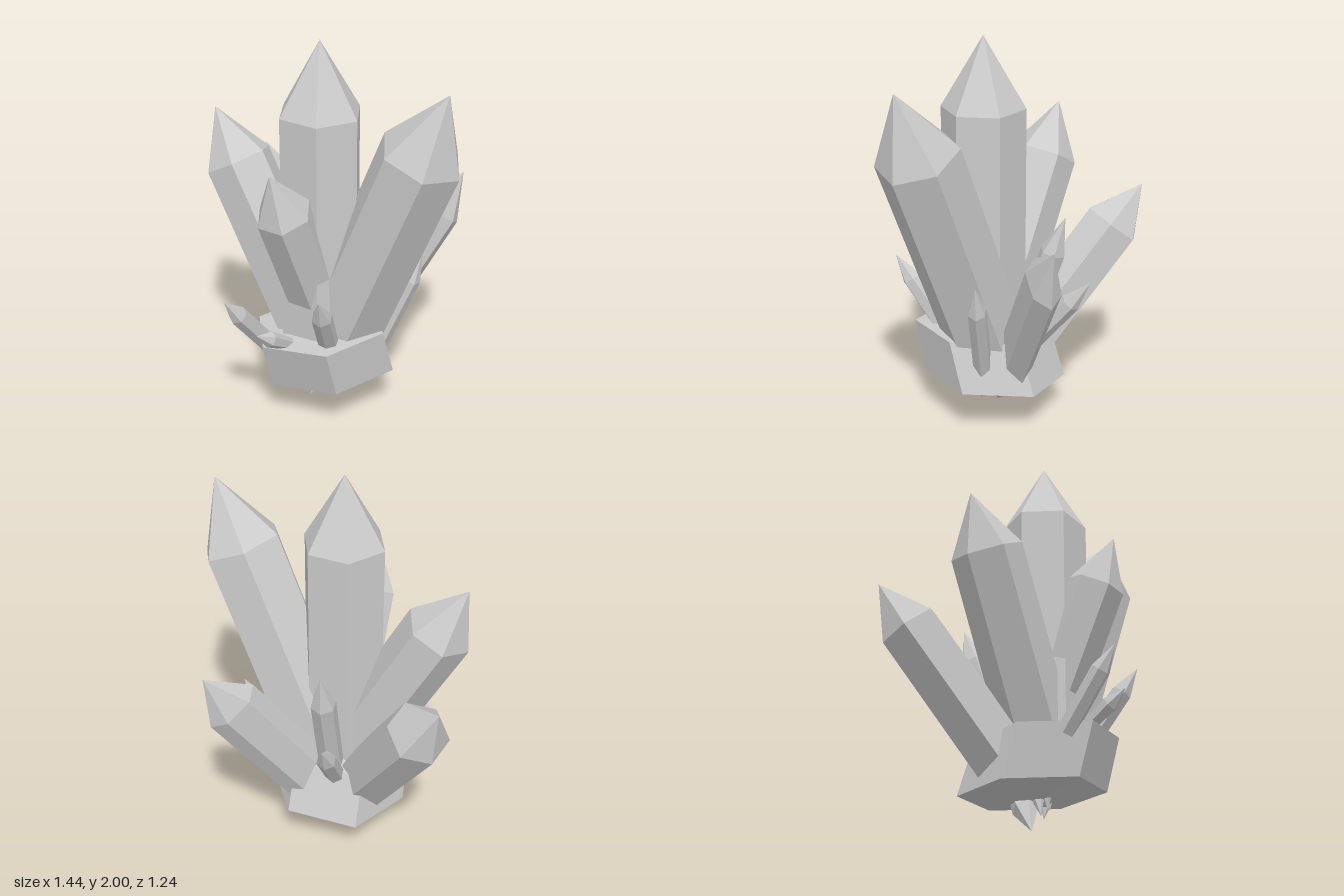
import * as THREE from 'three';

const material = new THREE.MeshStandardMaterial({ color: 0xcccccc, flatShading: true });
const rad = THREE.MathUtils.degToRad;

// Six-sided solid turned from a profile of [radius, height] points
function hexSolid(profile, spin) {
  const points = profile.map(([r, y]) => new THREE.Vector2(r, y));
  return new THREE.LatheGeometry(points, 6, rad(spin));
}

// Pointed hexagonal crystal running from base to apex; spin turns its corners
// about its own axis, flat squeezes it sideways to its lean
function crystal({ name, base, apex, r, tip, spin = 0, flat = 1, foot = r }) {
  const start = new THREE.Vector3(...base);
  const up = new THREE.Vector3(...apex).sub(start);
  const length = up.length();
  up.normalize();

  const lean = new THREE.Vector3(up.x, 0, up.z);
  if (lean.length() < 0.01) lean.set(1, 0, 0);
  lean.addScaledVector(up, -lean.dot(up)).normalize();
  const side = new THREE.Vector3().crossVectors(up, lean);

  const geometry = hexSolid([[0, 0], [foot, 0], [r, length - tip], [0, length]], spin);
  geometry.scale(flat, 1, 1);
  const mesh = new THREE.Mesh(geometry, material);
  mesh.name = name;
  mesh.quaternion.setFromRotationMatrix(new THREE.Matrix4().makeBasis(side, up, lean));
  mesh.position.copy(start);
  return mesh;
}

// Tilted, slanted hexagonal slab
function rockBase() {
  const geometry = hexSolid([[0, 0.165], [0.36, 0.215], [0.35, 0.475], [0, 0.5]], 100);
  const p = geometry.attributes.position;
  for (let i = 0; i < p.count; i++) {
    const x = p.getX(i), y = p.getY(i);
    p.setY(i, y + 0.1 * x);
    p.setZ(i, p.getZ(i) + 0.025 + 0.33 * (y - 0.215));
  }
  const mesh = new THREE.Mesh(geometry, material);
  mesh.name = 'rockBase';
  return mesh;
}

const crystals = [
  // Large crystals
  { name: 'mainCrystal', base: [0, 0.4, 0.1], apex: [0, 2, 0.1], r: 0.213, tip: 0.36 },
  { name: 'leftLargeCrystal', base: [0.06, 0.4, 0.03], apex: [0.685, 1.86, 0.07], r: 0.21, tip: 0.36, spin: 8 },
  { name: 'rightLargeCrystal', base: [-0.03, 0.4, 0.1], apex: [-0.645, 1.53, 0.1], r: 0.175, tip: 0.29 },
  { name: 'frontCrystal', base: [0, 0.4, 0.03], apex: [0, 1.455, 0.51], r: 0.14, tip: 0.255, spin: 30 },
  { name: 'backRightCrystal', base: [-0.155, 0.3, 0], apex: [-0.705, 1.155, -0.395], r: 0.16, tip: 0.26 },
  { name: 'backLeftCrystal', base: [0.08, 0.38, -0.16], apex: [0.4, 1.17, -0.62], r: 0.145, tip: 0.25, flat: 0.56 },
  // Slim crystals behind
  { name: 'backSlimCrystal', base: [-0.03, 0.4, -0.1], apex: [-0.08, 1.14, -0.345], r: 0.065, tip: 0.2 },
  { name: 'backSmallCrystal', base: [-0.07, 0.4, -0.14], apex: [-0.14, 0.8, -0.46], r: 0.05, tip: 0.16 },
  { name: 'leftSlimCrystal', base: [0.23, 0.36, -0.07], apex: [0.425, 0.89, -0.18], r: 0.06, tip: 0.16, flat: 0.8 },
  // Small crystals in front
  { name: 'frontRightShard', base: [-0.17, 0.41, 0.32], apex: [-0.207, 0.775, 0.62], r: 0.048, tip: 0.14 },
  { name: 'frontLeftShard', base: [0.13, 0.4, 0.2], apex: [0.25, 0.85, 0.48], r: 0.052, tip: 0.15 },
  { name: 'frontMiddleShard', base: [-0.03, 0.44, 0.3], apex: [-0.048, 0.62, 0.578], r: 0.042, foot: 0.03, tip: 0.11 },
  // Shards hanging below
  { name: 'lowerShard', base: [0.03, 0.24, -0.06], apex: [-0.09, 0, 0.08], r: 0.065, tip: 0.17 },
  { name: 'lowerShardSmall', base: [0, 0.25, 0.04], apex: [-0.03, 0.085, 0.095], r: 0.028, tip: 0.09 },
  { name: 'lowerShardSmall', base: [0.22, 0.3, -0.03], apex: [0.18, 0.145, -0.03], r: 0.025, tip: 0.08 },
  { name: 'lowerShardSmall', base: [0.12, 0.27, 0.04], apex: [0.11, 0.155, 0.05], r: 0.02, tip: 0.06 },
  { name: 'lowerShardSmall', base: [0.01, 0.24, 0.1], apex: [0, 0.12, 0.11], r: 0.022, tip: 0.07 },
];

export function createModel() {
  const group = new THREE.Group();
  group.name = 'crystalCluster';
  group.add(rockBase(), ...crystals.map(crystal));
  return group;
}
